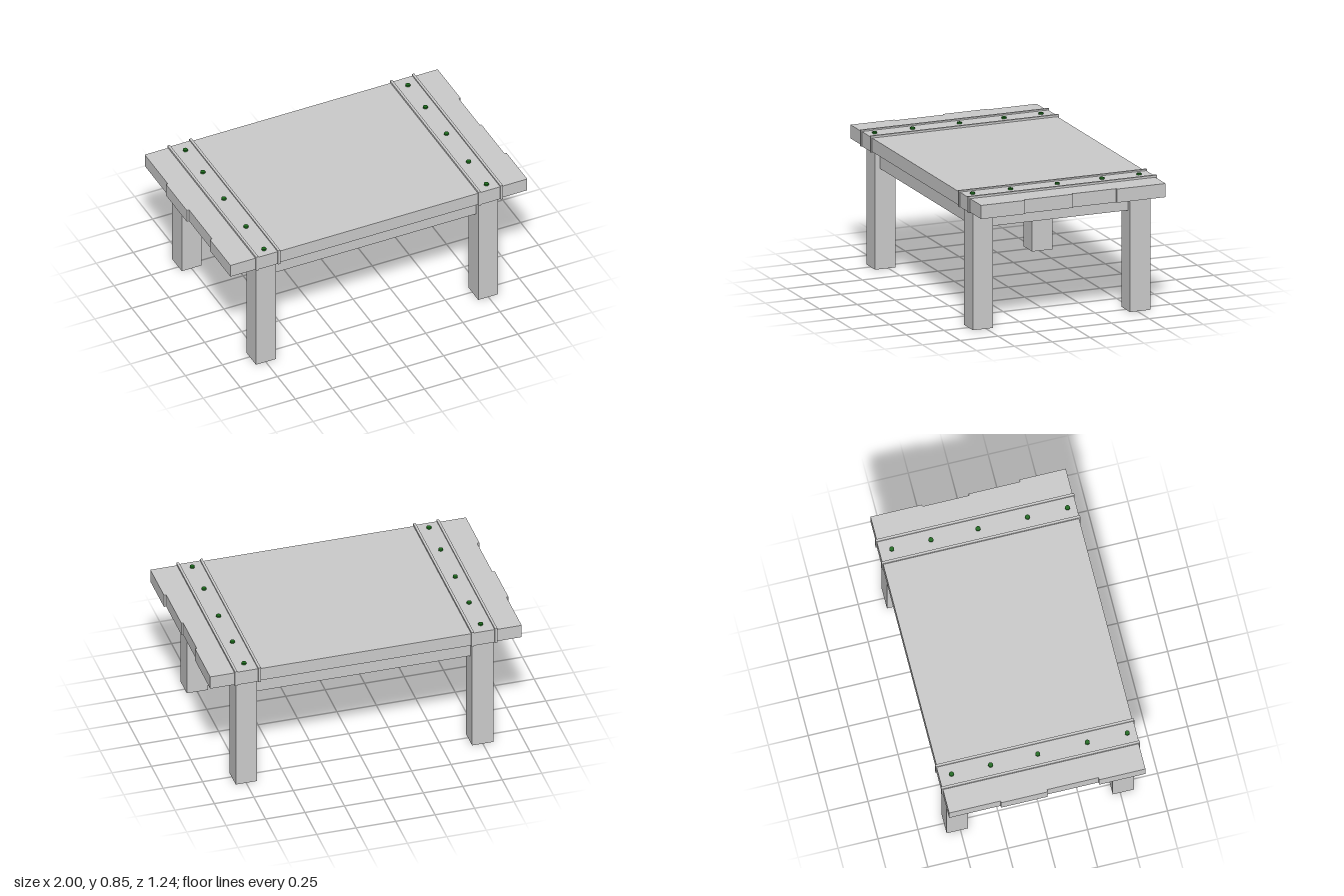
import * as THREE from 'three';

const grey = new THREE.MeshStandardMaterial({ color: 0xcccccc, flatShading: true });
const green = new THREE.MeshStandardMaterial({ color: 0x1c6b1c, flatShading: true });

// Box given by its minimum and maximum on each axis
function box(name, [x0, x1], [y0, y1], [z0, z1]) {
  const mesh = new THREE.Mesh(new THREE.BoxGeometry(x1 - x0, y1 - y0, z1 - z0), grey);
  mesh.name = name;
  mesh.position.set((x0 + x1) / 2, (y0 + y1) / 2, (z0 + z1) / 2);
  return mesh;
}

export function createModel() {
  const table = new THREE.Group();
  table.name = 'plankTable';

  // Tabletop planks with uneven ends: x range, z range
  const planks = [
    [[-0.988, 0.986], [-0.614, -0.292]],
    [[-1.0, 0.975], [-0.292, 0]],
    [[-0.985, 0.986], [0, 0.322]],
    [[-1.0, 1.0], [0.322, 0.612]],
  ];
  planks.forEach(([x, z]) => table.add(box('plank', x, [0.75, 0.836], z)));

  const nailGeometry = new THREE.CylinderGeometry(0.015, 0.015, 0.02, 12);
  for (const side of [-1, 1]) {
    // Metal band wrapped round the planks, with a raised rim along each edge
    const band = new THREE.Group();
    band.name = 'band';
    const cx = side * 0.75;
    band.add(box('strap', [cx - 0.07, cx + 0.07], [0.747, 0.84], [-0.617, 0.616]));
    for (const edge of [-1, 1]) {
      const rx = cx + edge * 0.074;
      band.add(box('strapRim', [rx - 0.008, rx + 0.008], [0.745, 0.849], [-0.623, 0.621]));
    }
    // Nail heads, one row per band
    for (const z of [-0.54, -0.295, 0, 0.31, 0.56]) {
      const nail = new THREE.Mesh(nailGeometry, green);
      nail.name = 'nail';
      nail.position.set(cx, 0.84, z);
      band.add(nail);
    }
    table.add(band);

    // Legs
    for (const end of [-1, 1]) {
      const lx = side * 0.749, lz = end * 0.52;
      table.add(box('leg', [lx - 0.067, lx + 0.067], [0, 0.75], [lz - 0.067, lz + 0.067]));
    }

    // Aprons set centrally between the legs
    const ax = side * 0.749, az = side * 0.52, t = 0.033;
    table.add(box('sideApron', [ax - t, ax + t], [0.633, 0.75], [-0.453, 0.453]));
    table.add(box('longApron', [-0.682, 0.682], [0.633, 0.75], [az - t, az + t]));
  }
  return table;
}
